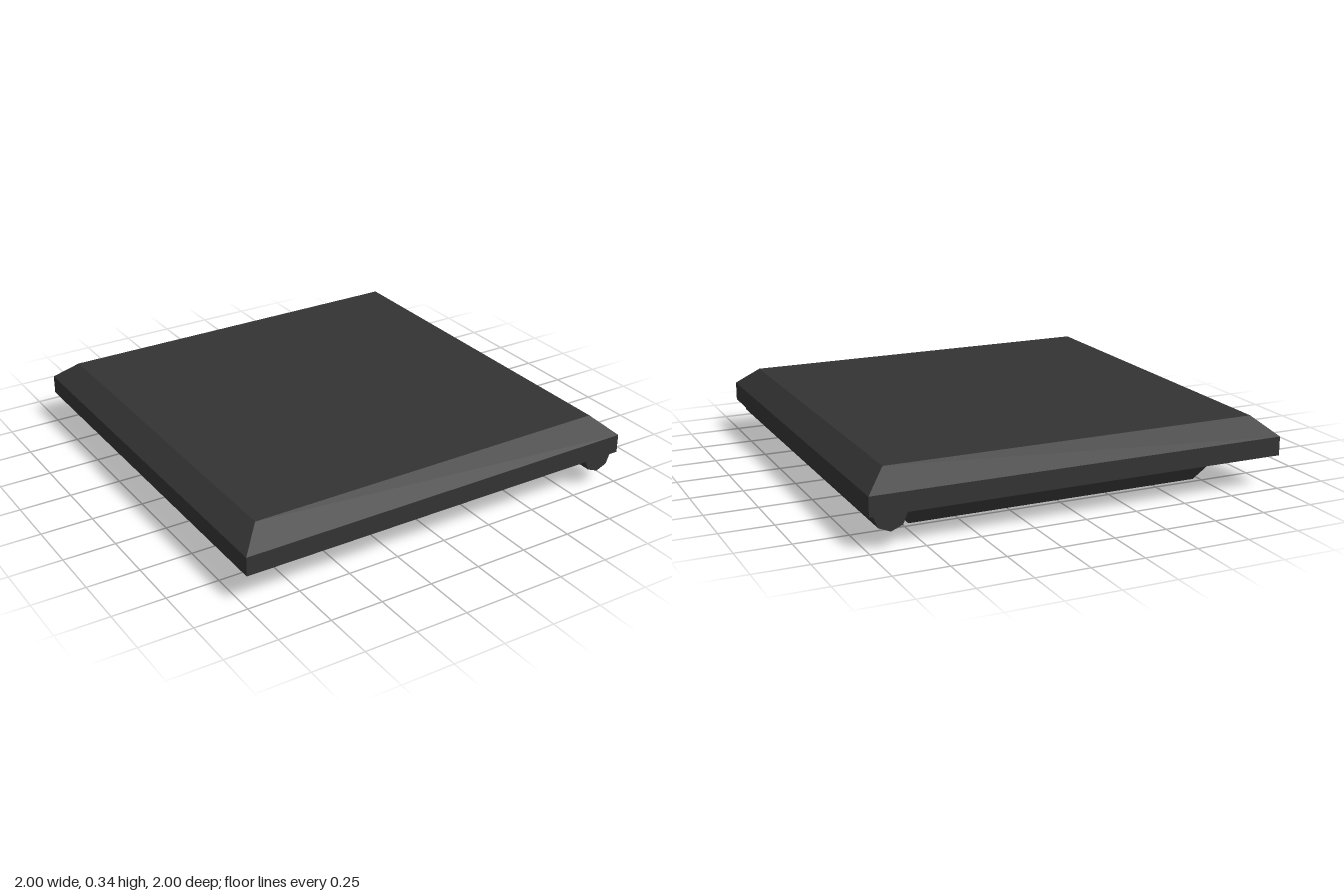
import * as THREE from 'three';

// Gives every face its own flat normal.
function faceted(geometry) {
  const flat = geometry.toNonIndexed();
  flat.computeVertexNormals();
  return flat;
}

// Four-sided solid from a profile of [half width, height], bottom to top.
function squareSolid(profile) {
  const points = profile.map(([half, y]) => new THREE.Vector2(half * Math.SQRT2, y));
  return faceted(new THREE.LatheGeometry(points, 4).rotateY(Math.PI / 4));
}

export function createModel() {
  const group = new THREE.Group();
  group.name = 'beveledLid';
  const charcoal = new THREE.MeshStandardMaterial({ color: 0x333333, flatShading: true });
  charcoal.name = 'charcoal';

  function add(name, geometry) {
    const mesh = new THREE.Mesh(geometry, charcoal);
    mesh.name = name;
    group.add(mesh);
    return mesh;
  }

  // Slab with a bevelled top edge, and the tapered plug beneath it
  add('lidAndPlug', squareSolid([
    [0, 0], [0.72, 0], [0.805, 0.13], [0.89, 0.16],
    [1, 0.16], [1, 0.25], [0.9, 0.337], [0, 0.337],
  ]));

  // Octagonal hinge rod along the left edge, half sunk into the slab
  const rod = new THREE.CylinderGeometry(0.077, 0.077, 1.965, 8).rotateX(Math.PI / 2);
  add('hingeRod', faceted(rod)).position.set(0.9, 0.156, 0);

  return group;
}
